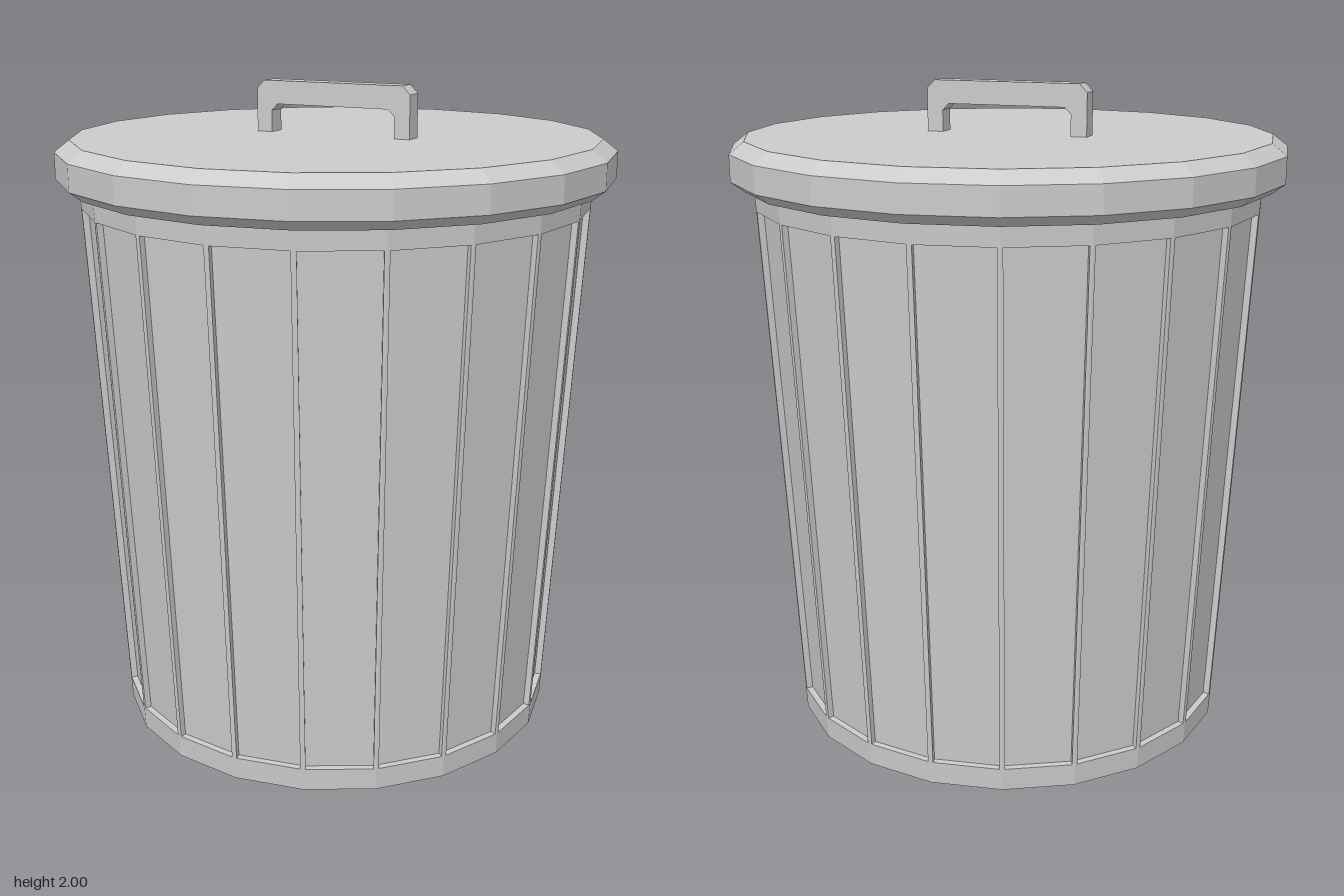
import * as THREE from 'three';

const SIDES = 20;
const HEIGHT = 1.76, BASE_R = 0.69, TOP_R = 0.78;
const PANEL_LOW = 0.07, PANEL_HIGH = 1.64, RIB = 0.008, DEPTH = 0.02;

const material = new THREE.MeshStandardMaterial({ color: 0xcccccc, flatShading: true });

function addMesh(group, name, geometry) {
  const mesh = new THREE.Mesh(geometry, material);
  mesh.name = name;
  group.add(mesh);
  return mesh;
}

// Point on the tapered wall at a given corner and height
function wallPoint(corner, y) {
  const a = (corner / SIDES) * Math.PI * 2;
  const r = BASE_R + (TOP_R - BASE_R) * (y / HEIGHT);
  return new THREE.Vector3(Math.sin(a) * r, y, Math.cos(a) * r);
}

// Tapered wall: every side is a frame around a recessed panel
function binGeometry() {
  const positions = [];
  const tri = (...points) => points.forEach((p) => positions.push(p.x, p.y, p.z));
  const quad = (a, b, c, d) => { tri(a, b, c); tri(a, c, d); };

  for (let i = 0; i < SIDES; i++) {
    const outer = [wallPoint(i, 0), wallPoint(i + 1, 0), wallPoint(i + 1, HEIGHT), wallPoint(i, HEIGHT)];
    const mid = ((i + 0.5) / SIDES) * Math.PI * 2;
    const along = new THREE.Vector3(Math.cos(mid), 0, -Math.sin(mid));
    const inward = new THREE.Vector3(-Math.sin(mid), 0, -Math.cos(mid));
    const hole = [
      wallPoint(i, PANEL_LOW).addScaledVector(along, RIB),
      wallPoint(i + 1, PANEL_LOW).addScaledVector(along, -RIB),
      wallPoint(i + 1, PANEL_HIGH).addScaledVector(along, -RIB),
      wallPoint(i, PANEL_HIGH).addScaledVector(along, RIB),
    ];
    const floor = hole.map((p) => p.clone().addScaledVector(inward, DEPTH));
    for (let k = 0; k < 4; k++) {
      const n = (k + 1) % 4;
      quad(outer[k], outer[n], hole[n], hole[k]);
      quad(hole[k], hole[n], floor[n], floor[k]);
    }
    quad(...floor);
    // Wedge of the closed underside
    tri(new THREE.Vector3(), outer[1], outer[0]);
  }

  const geometry = new THREE.BufferGeometry();
  geometry.setAttribute('position', new THREE.Float32BufferAttribute(positions, 3));
  geometry.computeVertexNormals();
  return geometry;
}

// Lid with a bevelled rim overhanging the wall
function lidGeometry() {
  const profile = [
    [0, 1.76], [0.8, 1.76], [0.805, 1.7], [0.845, 1.73],
    [0.845, 1.81], [0.8, 1.845], [0, 1.845],
  ].map(([r, y]) => new THREE.Vector2(r, y));
  return new THREE.LatheGeometry(profile, SIDES);
}

// Bracket handle with chamfered corners
function handleGeometry() {
  const half = [
    [0.255, 1.84], [0.255, 1.975], [0.23, 2],
  ];
  const inner = [[0.185, 1.93], [0.205, 1.91], [0.205, 1.84]];
  const mirror = (points) => points.map(([x, y]) => [-x, y]).reverse();
  const outline = [...half, ...mirror(half), ...mirror(inner), ...mirror(mirror(inner)).slice()];
  const shape = new THREE.Shape(outline.map(([x, y]) => new THREE.Vector2(x, y)));
  const geometry = new THREE.ExtrudeGeometry(shape, { depth: 0.06, bevelEnabled: false });
  geometry.translate(0, 0, -0.03);
  return geometry;
}

export function createModel() {
  const group = new THREE.Group();
  group.name = 'trashCan';
  addMesh(group, 'bin', binGeometry());
  addMesh(group, 'lid', lidGeometry());
  addMesh(group, 'handle', handleGeometry());
  return group;
}
